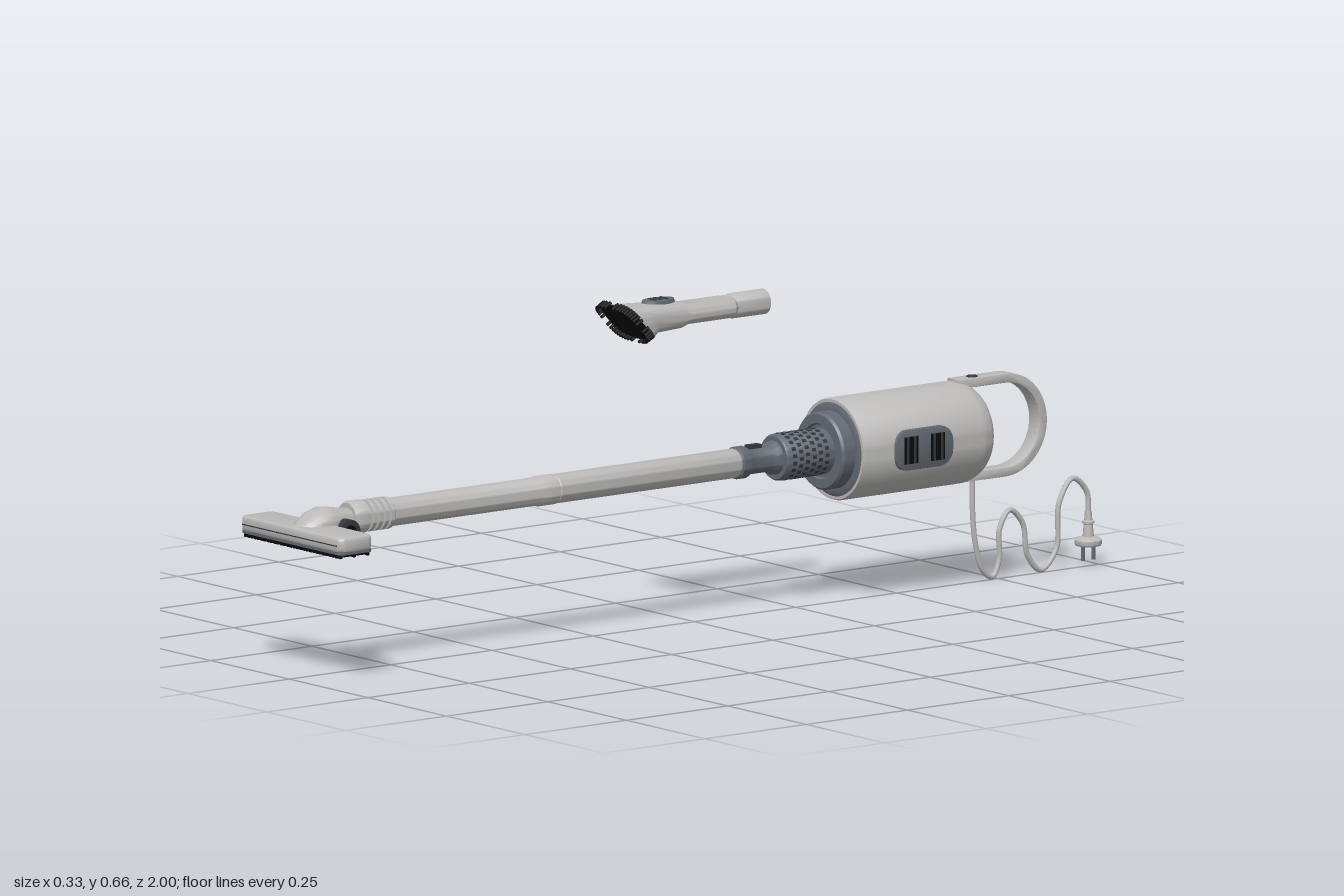
import * as THREE from 'three';
import { toCreasedNormals } from 'three/addons/utils/BufferGeometryUtils.js';

const mat = (name, color) => Object.assign(new THREE.MeshStandardMaterial({ color }), { name });
const AXIS = 0.305; // height of the wand's centre line

export function createModel() {
  const root = new THREE.Group();
  const light = mat('light grey', 0xbbbab8);
  const slate = mat('slate grey', 0x636a73);
  const dark = mat('dark grey', 0x34383d);
  const black = mat('black', 0x0b0b0c);

  const add = (name, geo, material, x = 0, y = 0, z = 0, parent = root) => {
    const m = new THREE.Mesh(geo, material);
    m.name = name;
    m.position.set(x, y, z);
    parent.add(m);
    return m;
  };
  // Solid of revolution round the z axis; points are [radius, z], z rising
  const turned = (pts, seg = 48) => toCreasedNormals(
    new THREE.LatheGeometry(pts.map(p => new THREE.Vector2(...p)), seg).rotateX(Math.PI / 2), 0.6);
  // Rounded rectangle outline
  const roundRect = (w, h, r) => {
    const s = new THREE.Shape(), x = w / 2, y = h / 2;
    s.absarc(x - r, y - r, r, 0, Math.PI / 2);
    s.absarc(-x + r, y - r, r, Math.PI / 2, Math.PI);
    s.absarc(-x + r, -y + r, r, Math.PI, Math.PI * 1.5);
    s.absarc(x - r, -y + r, r, Math.PI * 1.5, Math.PI * 2);
    return s;
  };
  // Point on a rounded section [z, halfWidth, centreY, halfHeight, power, shear]
  const ringPoint = ([z, hx, cy, hy, n = 2, shear = 0], t) => {
    const f = v => Math.sign(v) * Math.abs(v) ** (2 / n);
    const y = hy * f(Math.sin(t));
    return [hx * f(Math.cos(t)), cy + y, z + shear * y];
  };
  // Capped skin over sections, z rising
  const loft = (sections, seg = 40) => {
    const pos = [], idx = [], last = sections.length - 1;
    for (const s of sections)
      for (let j = 0; j < seg; j++) pos.push(...ringPoint(s, j / seg * Math.PI * 2));
    for (let i = 0; i < last; i++)
      for (let j = 0; j < seg; j++) {
        const a = i * seg + j, b = i * seg + (j + 1) % seg;
        idx.push(a, b, b + seg, a, b + seg, a + seg);
      }
    for (let j = 1; j < seg - 1; j++) {
      idx.push(0, j + 1, j);
      idx.push(last * seg, last * seg + j, last * seg + j + 1);
    }
    const g = new THREE.BufferGeometry();
    g.setAttribute('position', new THREE.Float32BufferAttribute(pos, 3));
    g.setIndex(idx);
    return toCreasedNormals(g, 0.6);
  };

  // Motor body with a rounded back
  const bodyPts = [[0, -0.68]];
  for (let i = 0; i <= 8; i++) {
    const a = i / 8 * Math.PI / 2;
    bodyPts.push([0.068 + 0.033 * Math.sin(a), -0.632 - 0.048 * Math.cos(a)]);
  }
  bodyPts.push([0.101, -0.345], [0.099, -0.34], [0.093, -0.34], [0.093, -0.346], [0, -0.346]);
  add('motorBody', turned(bodyPts, 64), light, 0, AXIS);

  // Stepped front collar and filter housing
  add('frontCollar', turned([[0.093, -0.35], [0.093, -0.342], [0.085, -0.338], [0.077, -0.338],
    [0.077, -0.312], [0.073, -0.307], [0.055, -0.307], [0.052, -0.312], [0.045, -0.312]], 64), slate, 0, AXIS);
  add('filterHousing', turned([[0.046, -0.315], [0.046, -0.2], [0.043, -0.195], [0, -0.195]]), slate, 0, AXIS);
  const holes = new THREE.Group();
  holes.name = 'filterHoles';
  holes.position.y = AXIS;
  root.add(holes);
  const holeGeo = new THREE.BoxGeometry(0.007, 0.003, 0.009);
  for (let r = 0; r < 6; r++)
    for (let i = 0; i < 20; i++) {
      const a = (i + (r % 2) / 2) / 20 * Math.PI * 2;
      const h = add('filterHole', holeGeo, dark, -Math.sin(a) * 0.0455, Math.cos(a) * 0.0455, -0.293 + r * 0.016, holes);
      h.rotation.z = a;
    }
  add('wandSocket', turned([[0.034, -0.197], [0.032, -0.185], [0.026, -0.175], [0.026, -0.13],
    [0.032, -0.118], [0.032, -0.1], [0.028, -0.097], [0, -0.097]]), slate, 0, AXIS);
  add('socketLatch', new THREE.BoxGeometry(0.016, 0.008, 0.03), dark, 0, AXIS + 0.028, -0.145);

  // Two-piece wand, with a ribbed swivel at the front
  add('rearWand', turned([[0.027, -0.1], [0.029, -0.095], [0.029, 0.348], [0.027, 0.35], [0.027, 0.356]]), light, 0, AXIS);
  add('frontWand', turned([[0.027, 0.35], [0.03, 0.352], [0.03, 0.39], [0.028, 0.394], [0.028, 0.765], [0, 0.765]]), light, 0, AXIS);
  const ribs = [[0.025, 0.755]];
  for (let i = 0; i < 4; i++) {
    const z = 0.762 + i * 0.015;
    ribs.push([0.032, z], [0.032, z + 0.009], [0.027, z + 0.01], [0.027, z + 0.014]);
  }
  ribs.push([0.033, 0.823], [0.034, 0.85], [0.03, 0.858], [0, 0.858]);
  add('swivelSleeve', turned(ribs), light, 0, AXIS);

  // Floor head: neck, pivots, shell, sole and bristles
  add('headNeck', loft([[0.845, 0.024, 0.3, 0.024], [0.88, 0.028, 0.302, 0.026], [0.905, 0.037, 0.302, 0.031],
    [0.922, 0.041, 0.303, 0.032], [0.945, 0.039, 0.3, 0.028], [0.968, 0.03, 0.294, 0.02], [0.984, 0.012, 0.288, 0.012]]), light);
  for (const s of [-1, 1]) {
    add('pivotWheel', toCreasedNormals(new THREE.CylinderGeometry(0.025, 0.025, 0.02, 28).rotateZ(Math.PI / 2), 0.6),
      dark, s * 0.04, 0.287, 0.888);
    add('pivotCap', toCreasedNormals(new THREE.CylinderGeometry(0.014, 0.014, 0.006, 20).rotateZ(Math.PI / 2), 0.6),
      black, s * 0.05, 0.287, 0.888);
  }
  const slab = (w, d, r, h, bevel) => {
    const g = new THREE.ExtrudeGeometry(roundRect(w - 2 * bevel, d - 2 * bevel, r),
      { depth: h - 2 * bevel, bevelSize: bevel, bevelThickness: bevel, bevelSegments: 3, bevelEnabled: bevel > 0, curveSegments: 8 });
    return toCreasedNormals(g.rotateX(-Math.PI / 2).translate(0, bevel, 0), 0.7);
  };
  add('headShell', slab(0.326, 0.085, 0.014, 0.03, 0.006), light, 0, 0.273, 0.957);
  add('headBumper', slab(0.322, 0.081, 0.014, 0.006, 0), slate, 0, 0.269, 0.957);
  add('headSole', slab(0.318, 0.078, 0.014, 0.005, 0), black, 0, 0.265, 0.957);
  add('headTrim', new THREE.BoxGeometry(0.3, 0.002, 0.002), dark, 0, 0.287, 0.9995);
  const tuft = new THREE.BoxGeometry(0.006, 0.007, 0.006);
  for (const z of [0.924, 0.957, 0.99])
    for (let i = 0; i < 30; i++) add('headBristle', tuft, black, -0.15 + i * 0.3 / 29, 0.2645, z);

  // Loop handle and its button
  const strap = new THREE.Shape();
  strap.moveTo(0.64, 0.408);
  strap.lineTo(0.755, 0.408);
  strap.absarc(0.755, 0.308, 0.1, Math.PI / 2, -Math.PI / 2, true);
  strap.lineTo(0.65, 0.208);
  strap.lineTo(0.65, 0.222);
  strap.lineTo(0.755, 0.222);
  strap.absarc(0.755, 0.308, 0.086, -Math.PI / 2, Math.PI / 2, false);
  strap.lineTo(0.64, 0.394);
  add('handle', toCreasedNormals(new THREE.ExtrudeGeometry(strap,
    { depth: 0.032, bevelSize: 0.002, bevelThickness: 0.002, bevelSegments: 2, curveSegments: 28 })
    .translate(0, 0, -0.016).rotateY(Math.PI / 2), 0.6), light);
  add('powerButton', toCreasedNormals(new THREE.CylinderGeometry(0.011, 0.012, 0.008, 24), 0.6), dark, 0, 0.408, -0.685);

  // Side vents, mirrored
  const ventGeo = toCreasedNormals(new THREE.ExtrudeGeometry(roundRect(0.14, 0.076, 0.03),
    { depth: 0.02, bevelSize: 0.002, bevelThickness: 0.002, bevelSegments: 2 })
    .translate(0, 0, -0.01).rotateY(Math.PI / 2), 0.6);
  for (const s of [-1, 1]) {
    add('ventPlate', ventGeo, slate, s * 0.091, AXIS, -0.488);
    for (const dz of [-0.033, 0.033]) {
      add('ventOpening', new THREE.BoxGeometry(0.004, 0.054, 0.034), black, s * 0.102, AXIS, -0.488 + dz);
      for (const o of [-0.009, 0.009])
        add('ventRib', new THREE.BoxGeometry(0.004, 0.054, 0.005), dark, s * 0.1035, AXIS, -0.488 + dz + o);
    }
  }

  // Power cord
  const cord = [[0.215, -0.686], [0.15, -0.686], [0.08, -0.693], [0.025, -0.71], [0.007, -0.735], [0.04, -0.752],
    [0.1, -0.753], [0.135, -0.778], [0.105, -0.81], [0.04, -0.822], [0.007, -0.855], [0.045, -0.893],
    [0.135, -0.9], [0.18, -0.933], [0.15, -0.968], [0.095, -0.972]];
  add('cord', new THREE.TubeGeometry(new THREE.CatmullRomCurve3(
    cord.map(([y, z]) => new THREE.Vector3(0, y, z))), 160, 0.0055, 10), light);
  // Plug with strain relief and two pins
  add('plug', toCreasedNormals(new THREE.LatheGeometry([[0, 0.043], [0.025, 0.043], [0.027, 0.046], [0.027, 0.054],
    [0.022, 0.058], [0.011, 0.061], [0.009, 0.085], [0.012, 0.087], [0.012, 0.091], [0.008, 0.093],
    [0.007, 0.11], [0, 0.11]].map(p => new THREE.Vector2(...p)), 28), 0.6), light, 0, 0, -0.972);
  for (const s of [-1, 1])
    add('plugPin', new THREE.CylinderGeometry(0.004, 0.004, 0.032, 12), slate, 0, 0.029, -0.972 + s * 0.013);

  // Loose dusting nozzle: hollow tail, flat neck, flared slanted mouth
  const TY = 0.618;
  add('nozzleTail', turned([[0, -0.12], [0.021, -0.12], [0.021, -0.17], [0.025, -0.17], [0.025, -0.09],
    [0.022, -0.085], [0.022, -0.07]]), light, 0, TY);
  add('nozzleNeck', loft([[-0.09, 0.024, TY, 0.021], [-0.075, 0.038, TY, 0.021, 2.6],
    [0.035, 0.04, TY, 0.021, 2.6], [0.05, 0.038, TY, 0.027, 2.8], [0.12, 0.043, TY, 0.029, 3, 0.2],
    [0.145, 0.05, 0.616, 0.033, 3.2, 0.7], [0.163, 0.054, 0.615, 0.036, 3.4, 0.9]]), light);
  const mouth = [0.172, 0.055, 0.615, 0.036, 3.4, 0.93];
  add('nozzleMouth', loft([[0.16, 0.053, 0.615, 0.035, 3.4, 0.9], mouth]), black);
  const hair = new THREE.CylinderGeometry(0.0035, 0.004, 0.018, 6).rotateX(Math.PI / 2);
  for (let i = 0; i < 40; i++) {
    const [x, y, z] = ringPoint(mouth, (i + 0.5) / 40 * Math.PI * 2);
    add('nozzleBristle', hair, black, x, y, z).rotation.x = 0.5;
  }
  add('nozzleButton', toCreasedNormals(new THREE.CylinderGeometry(0.02, 0.022, 0.01, 28).scale(1, 1, 1.8), 0.6),
    slate, 0, 0.647, 0.09);
  for (let i = -1; i <= 1; i++)
    add('buttonGrip', new THREE.BoxGeometry(0.024, 0.003, 0.005), dark, 0, 0.6525, 0.09 + i * 0.014);

  return root;
}
